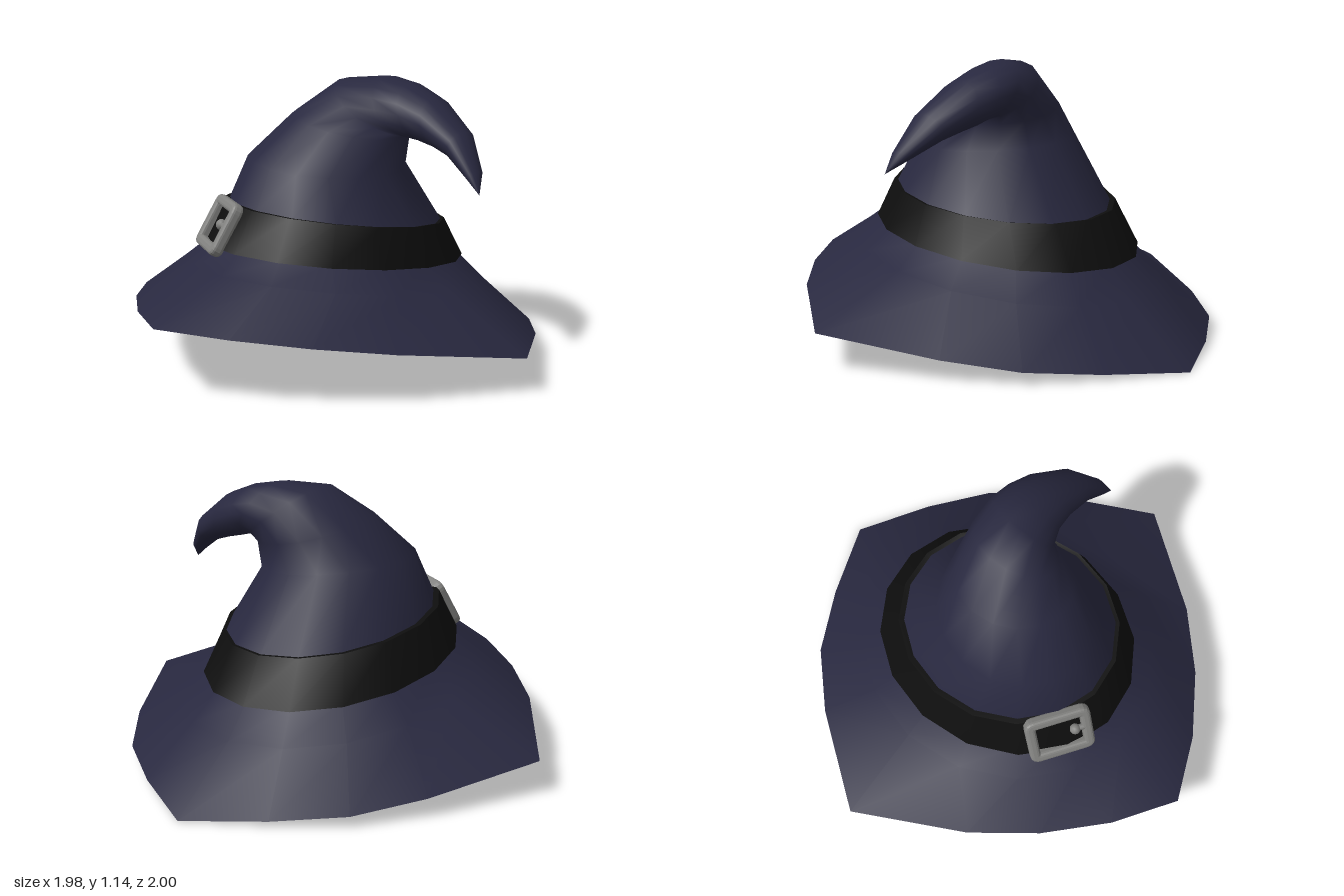
import * as THREE from 'three';

const SEG = 16;

// Tilted elliptical ring through a left and right point [x, y] and a front and back point [y, z]
function ring(L, R, F, B) {
  const mid = [(L[0] + R[0]) / 2, (L[1] + R[1] + F[0] + B[0]) / 4, (F[1] + B[1]) / 2];
  const u = [(R[0] - L[0]) / 2, (R[1] - L[1]) / 2, 0];
  const w = [0, (F[0] - B[0]) / 2, (F[1] - B[1]) / 2];
  return Array.from({ length: SEG }, (_, j) => {
    const a = (j / SEG) * Math.PI * 2;
    return mid.map((m, k) => m + u[k] * Math.cos(a) + w[k] * Math.sin(a));
  });
}

// Smooth skin over a list of rings, running from bottom to top
function loft(name, rings, material) {
  const index = [];
  for (let i = 0; i < rings.length - 1; i++) {
    for (let j = 0; j < SEG; j++) {
      const k = (j + 1) % SEG;
      const a = i * SEG + j, b = i * SEG + k, c = a + SEG, d = b + SEG;
      index.push(a, c, b, b, c, d);
    }
  }
  const g = new THREE.BufferGeometry();
  g.setAttribute('position', new THREE.Float32BufferAttribute(rings.flat(2), 3));
  g.setIndex(index);
  g.computeVertexNormals();
  const mesh = new THREE.Mesh(g, material);
  mesh.name = name;
  return mesh;
}

// Four-cornered brim edge lying in a plane that rises to the front
function brimEdge() {
  const front = [[0.99, 0], [0.71, 0.44], [0.5, 0.67], [0.26, 0.86], [0, 1]];
  const back = [[0.75, -0.43], [0.56, -0.67], [0.31, -0.84], [0, -1]];
  const flip = (list) => list.map(([x, z]) => [-x, z]).reverse();
  const outline = [
    ...front, ...flip(front.slice(0, 4)),
    ...back.slice(0, 3).map(([x, z]) => [-x, z]),
    ...back.slice().reverse(),
  ];
  return outline.map(([x, z]) => [x, 0.145 + 0.145 * z, z]);
}

function roundedRect(target, w, h, r) {
  target.moveTo(-w + r, -h);
  target.lineTo(w - r, -h);
  target.quadraticCurveTo(w, -h, w, -h + r);
  target.lineTo(w, h - r);
  target.quadraticCurveTo(w, h, w - r, h);
  target.lineTo(-w + r, h);
  target.quadraticCurveTo(-w, h, -w, h - r);
  target.lineTo(-w, -h + r);
  target.quadraticCurveTo(-w, -h, -w + r, -h);
  return target;
}

function createBuckle(metal) {
  const buckle = new THREE.Group();
  buckle.name = 'buckle';

  // Rounded frame
  const shape = roundedRect(new THREE.Shape(), 0.125, 0.1, 0.025);
  shape.holes.push(roundedRect(new THREE.Path(), 0.11, 0.085, 0.012));
  const frameGeo = new THREE.ExtrudeGeometry(shape, {
    depth: 0.02, bevelThickness: 0.015, bevelSize: 0.015, bevelSegments: 3, curveSegments: 4,
  });
  frameGeo.translate(0, 0, -0.01);
  const frame = new THREE.Mesh(frameGeo, metal);
  frame.name = 'buckleFrame';

  // Short prong with a round end
  const pin = new THREE.Mesh(new THREE.CylinderGeometry(0.013, 0.013, 0.05, 8), metal);
  pin.name = 'bucklePin';
  pin.rotation.z = Math.PI / 2;
  pin.position.set(0.085, 0.01, 0.012);
  const knob = new THREE.Mesh(new THREE.SphereGeometry(0.023, 10, 8), metal);
  knob.name = 'buckleKnob';
  knob.position.set(0.065, 0.01, 0.014);

  buckle.add(frame, pin, knob);
  buckle.rotation.set(-0.52, -0.52, 0.03, 'YXZ');
  buckle.position.set(-0.193, 0.56, 0.477);
  return buckle;
}

export function createModel() {
  const mat = (name, color, side = THREE.DoubleSide) => {
    const m = new THREE.MeshStandardMaterial({ color, side });
    m.name = name;
    return m;
  };
  const cloth = mat('navy cloth', 0x28283f);
  const leather = mat('black leather', 0x0e0e0e);
  const metal = mat('grey metal', 0x828280, THREE.FrontSide);

  // Rings shared between neighbouring parts
  const brimTop = ring([-0.48, 0.43], [0.48, 0.425], [0.495, 0.55], [0.35, -0.58]);
  const bandLow = ring([-0.51, 0.42], [0.505, 0.41], [0.49, 0.58], [0.335, -0.61]);
  const bandHigh = ring([-0.435, 0.595], [0.445, 0.565], [0.655, 0.485], [0.52, -0.5]);
  const crownBase = ring([-0.41, 0.595], [0.43, 0.565], [0.65, 0.465], [0.515, -0.48]);

  const hat = new THREE.Group();
  hat.name = 'pointedHat';

  // Wide flared brim
  hat.add(loft('brim', [
    brimEdge(),
    ring([-0.6, 0.32], [0.6, 0.32], [0.42, 0.66], [0.22, -0.7]),
    brimTop,
  ], cloth));

  // Crown that folds over to the left and ends in a drooping tip
  hat.add(loft('crown', [
    crownBase,
    ring([-0.31, 0.83], [0.32, 0.77], [0.8, 0.385], [0.8, -0.3]),
    ring([-0.17, 0.98], [0.3, 0.89], [0.97, 0.22], [0.92, -0.295]),
    ring([0, 1.12], [0.295, 0.905], [1.04, 0.1], [1, -0.3]),
    ring([0.16, 1.14], [0.31, 0.9], [1.02, 0.01], [1.02, -0.31]),
    ring([0.28, 1.12], [0.36, 0.89], [1.0, -0.03], [1.0, -0.305]),
    ring([0.4, 1.07], [0.43, 0.87], [0.97, -0.05], [0.97, -0.285]),
    ring([0.57, 0.95], [0.52, 0.84], [0.9, -0.06], [0.89, -0.235]),
    ring([0.67, 0.81], [0.63, 0.775], [0.79, -0.06], [0.79, -0.15]),
    ring([0.7, 0.725], [0.7, 0.725], [0.725, -0.07], [0.725, -0.07]),
  ], cloth));

  // Band with narrow lips joining brim and crown
  const band = new THREE.Group();
  band.name = 'band';
  band.add(
    loft('bandLowerLip', [brimTop, bandLow], leather),
    loft('bandFace', [bandLow, bandHigh], leather),
    loft('bandUpperLip', [bandHigh, crownBase], leather),
  );
  hat.add(band, createBuckle(metal));
  return hat;
}
